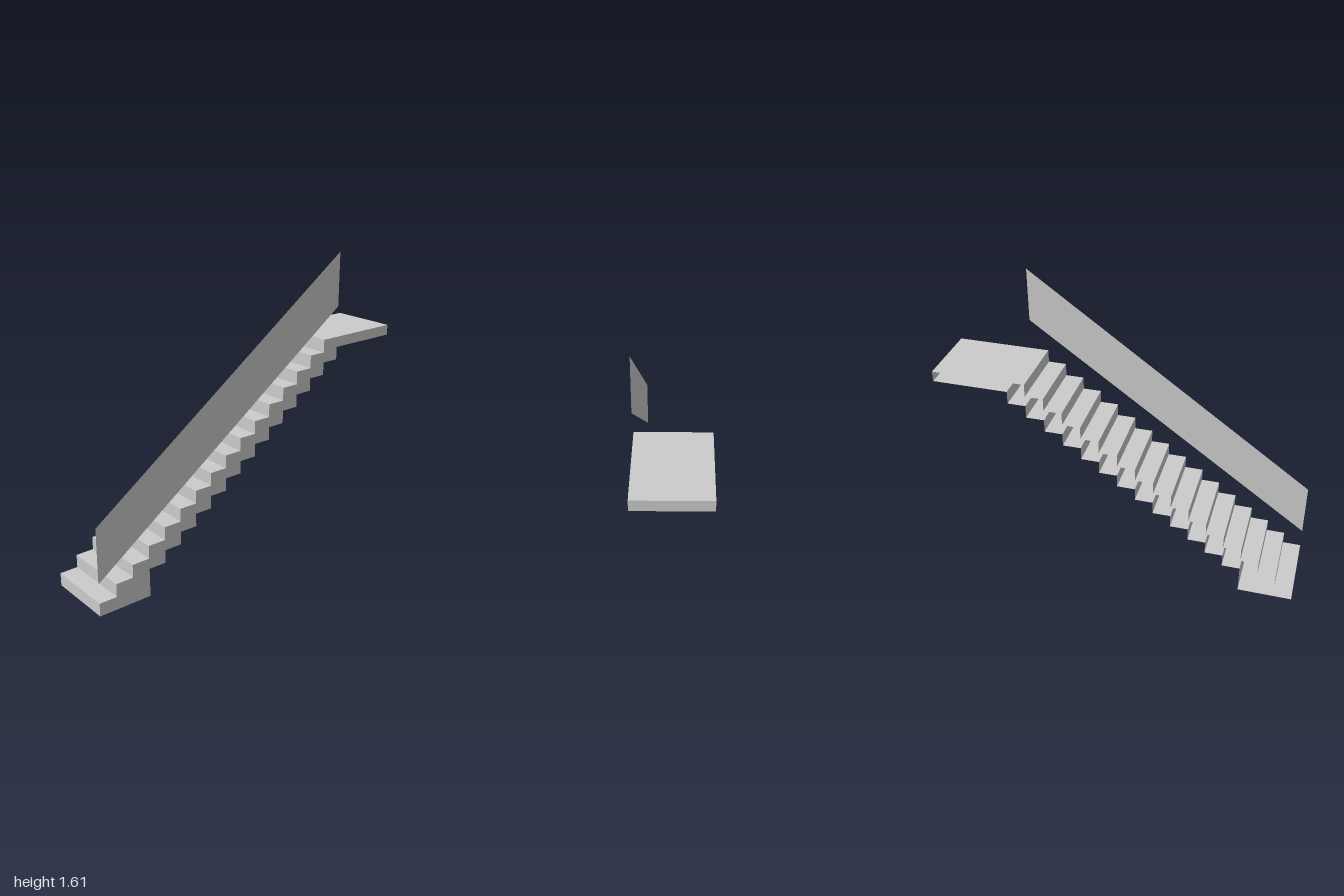
import * as THREE from 'three';

const STEPS = 16, RUN = 0.099, RISE = 0.071, HALF = 0.19;

// Side outline of the flight, counter-clockwise in x/y
function stairProfile() {
  const p = [[-1, 0]];
  // underside: floor, then saw-tooth soffit up to the landing
  let x = -1 + 3 * RUN, y = 0.155;
  p.push([x, 0], [x, y]);
  for (let i = 0; i < 13; i++) {
    x += RUN;
    p.push([x, y]);
    y += RISE;
    p.push([x, y]);
  }
  // landing end, then treads and risers back down
  p.push([1, y], [1, STEPS * RISE]);
  for (let i = STEPS - 1; i > 0; i--) {
    p.push([-1 + i * RUN, (i + 1) * RISE], [-1 + i * RUN, i * RISE]);
  }
  p.push([-1, RISE]);
  return p.map(([a, b]) => new THREE.Vector2(a, b));
}

// Sweeps a closed outline across the width as flat, outward-facing strips
function sweepOutline(points) {
  const pos = [];
  points.forEach((a, i) => {
    const b = points[(i + 1) % points.length];
    pos.push(a.x, a.y, HALF, a.x, a.y, -HALF, b.x, b.y, -HALF);
    pos.push(a.x, a.y, HALF, b.x, b.y, -HALF, b.x, b.y, HALF);
  });
  const g = new THREE.BufferGeometry();
  g.setAttribute('position', new THREE.Float32BufferAttribute(pos, 3));
  g.computeVertexNormals();
  return g;
}

export function createModel() {
  const model = new THREE.Group();
  model.name = 'staircase';
  const material = new THREE.MeshStandardMaterial({
    color: 0xcccccc, flatShading: true, side: THREE.DoubleSide,
  });
  const add = (name, geometry, z = 0) => {
    const mesh = new THREE.Mesh(geometry, material);
    mesh.name = name;
    mesh.position.z = z;
    model.add(mesh);
  };

  // Treads, risers, soffit and landing; the back side stays open
  const profile = stairProfile();
  add('stepsAndLanding', sweepOutline(profile));

  // Closed front side of the flight
  add('frontStringer', new THREE.ShapeGeometry(new THREE.Shape(profile)), HALF);

  // Thin sloping panel above the front edge
  const top = -1 + STEPS * RUN;
  const rail = new THREE.Shape([[-1, 0.178], [top, 1.308], [top, 1.606], [-1, 0.476]]
    .map(([x, y]) => new THREE.Vector2(x, y)));
  add('railingPanel', new THREE.ShapeGeometry(rail), HALF);

  return model;
}
